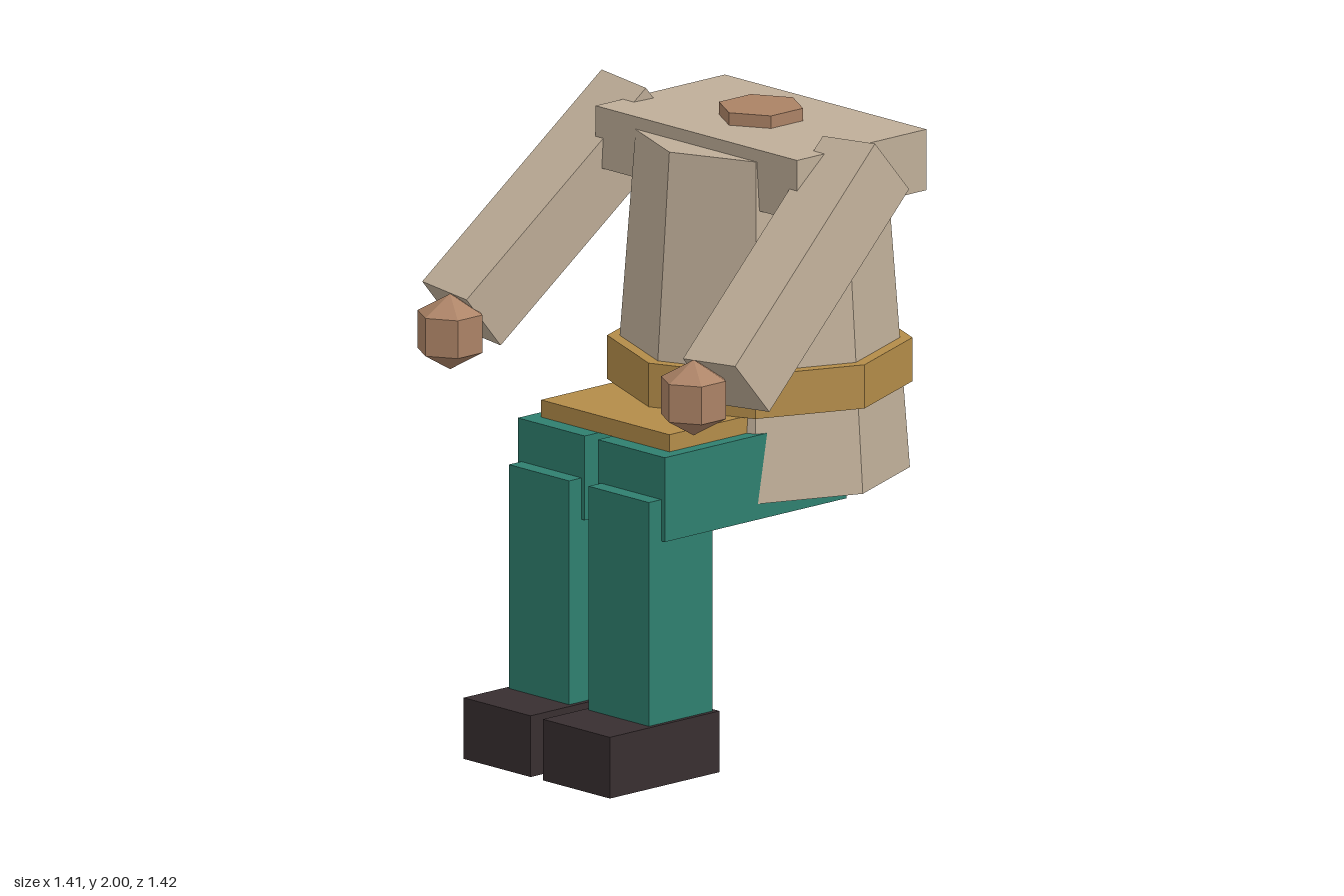
import * as THREE from 'three';

const mat = (name, color) => {
  const m = new THREE.MeshStandardMaterial({ color, flatShading: true });
  m.name = name;
  return m;
};

export function createModel() {
  const model = new THREE.Group();
  model.name = 'seatedFigure';

  const cloth = mat('tanCloth', 0xbfae98);
  const leather = mat('goldenLeather', 0xb38c49);
  const skin = mat('skin', 0xab8265);
  const trousers = mat('tealTrousers', 0x2f7f6f);
  const shoe = mat('darkShoe', 0x382e30);

  const add = (name, geometry, material, x, y, z) => {
    const mesh = new THREE.Mesh(geometry, material);
    mesh.name = name;
    mesh.position.set(x, y, z);
    model.add(mesh);
    return mesh;
  };
  // Box given by its lower and upper limits on each axis
  const box = (name, material, [x0, x1], [y0, y1], [z0, z1]) =>
    add(name, new THREE.BoxGeometry(x1 - x0, y1 - y0, z1 - z0), material,
      (x0 + x1) / 2, (y0 + y1) / 2, (z0 + z1) / 2);
  // Upright prism or tapered prism
  const prism = (name, material, rTop, rBottom, y0, y1, z, sides) =>
    add(name, new THREE.CylinderGeometry(rTop, rBottom, y1 - y0, sides), material, 0, (y0 + y1) / 2, z);

  // Body
  prism('torso', cloth, 0.385, 0.465, 0.83, 1.905, -0.235, 8);
  prism('belt', leather, 0.473, 0.473, 1.105, 1.245, -0.235, 8);
  prism('neck', skin, 0.136, 0.136, 1.88, 1.985, -0.24, 6);
  box('shoulders', cloth, [-0.455, 0.455], [1.75, 1.945], [-0.515, 0.035]);
  box('apron', leather, [-0.29, 0.29], [1.05, 1.105], [-0.1, 0.423]);

  for (const [side, s] of [['left', 1], ['right', -1]]) {
    const span = (a, b) => (s > 0 ? [a, b] : [-b, -a]);

    // Arm reaching forward and slightly outward
    const arm = add(side + 'Arm', new THREE.BoxGeometry(0.219, 0.893, 0.225), cloth, s * 0.553, 1.618, 0.132);
    arm.rotation.set(-0.87, 0, s * 0.1);

    // Faceted hand with a corner facing forward
    const hand = add(side + 'Hand', new THREE.SphereGeometry(0.121, 6, 3), skin, s * 0.55, 1.3, 0.565);
    hand.rotation.y = Math.PI / 2;

    // Bent leg
    box(side + 'Thigh', trousers, span(0.03, 0.332), [0.78, 1.05], [-0.29, 0.482]);
    box(side + 'Shin', trousers, span(0.044, 0.316), [0.19, 0.913], [0.265, 0.535]);
    box(side + 'Shoe', shoe, span(0.028, 0.33), [0, 0.196], [0.248, 0.714]);
  }

  return model;
}
